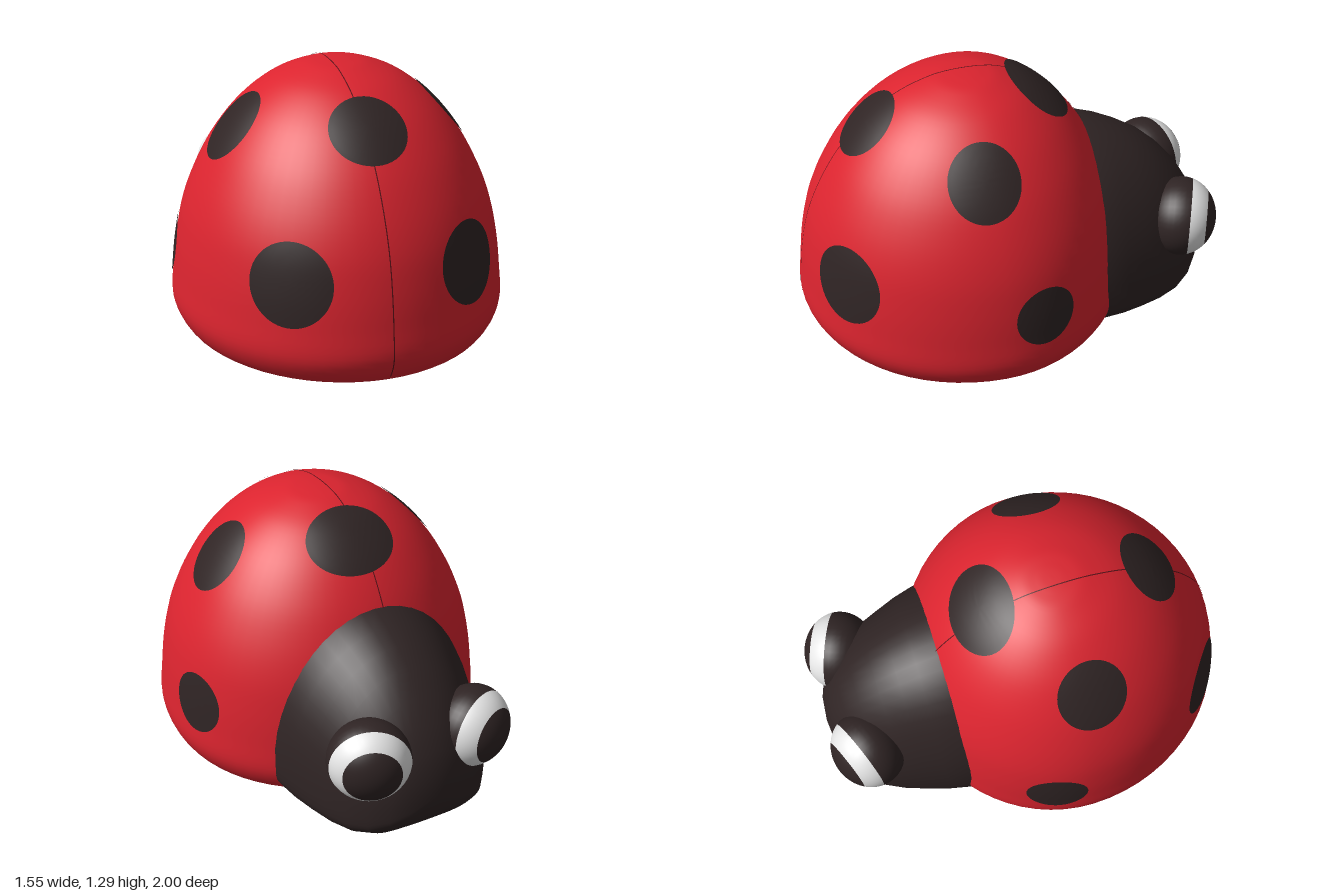
import * as THREE from 'three';
import { mergeVertices } from 'three/addons/utils/BufferGeometryUtils.js';

const material = (name, color, side = THREE.FrontSide) => {
  const m = new THREE.MeshStandardMaterial({ color, side });
  m.name = name;
  return m;
};

// Shell profile (radius, height), from the lower rim up to the crown
const PROFILE = new THREE.SplineCurve([
  [0.66, 0.04], [0.725, 0.062], [0.775, 0.17], [0.767, 0.32], [0.747, 0.48], [0.712, 0.64],
  [0.65, 0.8], [0.56, 0.96], [0.44, 1.105], [0.3, 1.213], [0.16, 1.272], [0.07, 1.288], [0, 1.291],
].map(([x, y]) => new THREE.Vector2(x, y))).getPoints(60);
PROFILE[60].x = 0;

const MID_Z = 0.16;
const stretch = (z) => z * (z > 0 ? 1.08 : 0.95); // longer behind than in front
const CORE = new THREE.Vector3(0, 0.45, MID_Z);

function radiusAt(y) {
  for (let i = 1; i < PROFILE.length; i++) {
    const a = PROFILE[i - 1], b = PROFILE[i];
    if (y >= a.y && y <= b.y) return a.x + (b.x - a.x) * (y - a.y) / (b.y - a.y || 1);
  }
  return 0;
}

// Point of the shell met by the ray from the core through a target, lifted a little
function onShell(target, lift = 0) {
  const dir = target.clone().sub(CORE).normalize();
  let lo = 0, hi = 2;
  for (let i = 0; i < 40; i++) {
    const t = (lo + hi) / 2;
    const p = dir.clone().multiplyScalar(t).add(CORE);
    const dz = p.z - MID_Z;
    const inside = Math.hypot(p.x, dz / (dz > 0 ? 1.08 : 0.95)) < radiusAt(p.y);
    if (inside) lo = t; else hi = t;
  }
  return dir.multiplyScalar(lo + lift).add(CORE);
}

// Weld seams and recompute smooth normals
function smooth(geometry) {
  geometry.deleteAttribute('uv');
  geometry.deleteAttribute('normal');
  const g = mergeVertices(geometry, 1e-5);
  g.computeVertexNormals();
  return g;
}

function bodyLathe(points) {
  const g = new THREE.LatheGeometry(points, 64);
  const p = g.attributes.position;
  for (let i = 0; i < p.count; i++) p.setZ(i, stretch(p.getZ(i)) + MID_Z);
  return smooth(g);
}

// Round spot that follows the curve of the shell
function spotGeometry(x, y, z, a, b) {
  const at = onShell(new THREE.Vector3(x, y, z));
  const side = new THREE.Vector3(0, 1, 0).cross(at.clone().sub(CORE)).normalize();
  const near = (v, s) => onShell(at.clone().addScaledVector(v, s));
  const rise = at.clone().sub(CORE).cross(side).normalize();
  const u = near(side, 0.05).sub(near(side, -0.05)).normalize();
  const v = near(rise, 0.05).sub(near(rise, -0.05)).normalize();
  const g = new THREE.RingGeometry(0, 1, 48, 8);
  const p = g.attributes.position;
  for (let i = 0; i < p.count; i++) {
    const q = at.clone().addScaledVector(u, p.getX(i) * a).addScaledVector(v, p.getY(i) * b);
    const s = onShell(q, 0.005);
    p.setXYZ(i, s.x, s.y, s.z);
  }
  return smooth(g);
}

// Fine line where the two wing cases meet, drifting slightly off centre
function seamGeometry() {
  const pos = [], index = [], n = 80;
  for (let i = 0; i <= n; i++) {
    const angle = -1.0 + (i / n) * 3.0;
    const p = onShell(CORE.clone().add(new THREE.Vector3(0, Math.cos(angle), Math.sin(angle))), 0.003);
    const x = -0.042 * (1 - Math.pow(Math.max(0, (p.z + 0.1) / 1.1), 1.6));
    pos.push(x - 0.0025, p.y, p.z, x + 0.0025, p.y, p.z);
    if (i < n) index.push(2 * i, 2 * i + 2, 2 * i + 1, 2 * i + 1, 2 * i + 2, 2 * i + 3);
  }
  const g = new THREE.BufferGeometry();
  g.setAttribute('position', new THREE.Float32BufferAttribute(pos, 3));
  g.setIndex(index);
  g.computeVertexNormals();
  return g;
}

// Head lofted from arched sections: z, half width, bottom, top
function headGeometry() {
  const sections = [
    [-0.2, 0.53, 0.035, 0.96], [-0.4, 0.51, 0.02, 0.925], [-0.5, 0.485, 0.01, 0.895],
    [-0.6, 0.45, 0.005, 0.85], [-0.7, 0.415, 0.01, 0.79], [-0.8, 0.365, 0.025, 0.7],
    [-0.88, 0.3, 0.06, 0.605], [-0.94, 0.22, 0.12, 0.5], [-0.972, 0.13, 0.185, 0.4], [-0.985, 0, 0.28, 0.28],
  ];
  const n = 48, pos = [], index = [];
  sections.forEach(([z, w, bottom, top], j) => {
    const mid = bottom + 0.22 * (top - bottom);
    for (let i = 0; i < n; i++) {
      const t = (i / n) * Math.PI * 2, c = Math.cos(t), s = Math.sin(t);
      const e = s < 0 ? 0.6 : 1;
      const x = w * Math.sign(c) * Math.pow(Math.abs(c), e);
      const y = s < 0 ? mid - (mid - bottom) * Math.pow(-s, e) : mid + (top - mid) * s;
      pos.push(x, y, z);
      if (j < sections.length - 1) {
        const a = j * n + i, b = j * n + (i + 1) % n;
        index.push(a, a + n, b, b, a + n, b + n);
      }
    }
  });
  const g = new THREE.BufferGeometry();
  g.setAttribute('position', new THREE.Float32BufferAttribute(pos, 3));
  g.setIndex(index);
  return smooth(g);
}

export function createModel() {
  const model = new THREE.Group();
  model.name = 'ladybug';
  const red = material('shell red', 0xdc242f);
  const dark = material('dark brown', 0x2f2424);
  const white = material('eye white', 0xe6e6e6);
  const seamRed = material('seam dark red', 0x5c1118, THREE.DoubleSide);

  const add = (parent, name, geometry, mat) => {
    const mesh = new THREE.Mesh(geometry, mat);
    mesh.name = name;
    parent.add(mesh);
    return mesh;
  };

  // Body
  add(model, 'shell', bodyLathe(PROFILE), red);
  add(model, 'belly', bodyLathe([[0, 0.022], [0.3, 0.022], [0.55, 0.024], [0.66, 0.04]]
    .map(([x, y]) => new THREE.Vector2(x, y))), dark);
  add(model, 'wingSeam', seamGeometry(), seamRed);
  add(model, 'head', headGeometry(), dark);

  // Spots: centre and two radii
  const spots = new THREE.Group();
  spots.name = 'spots';
  model.add(spots);
  add(spots, 'frontSpot', spotGeometry(0, 1.145, -0.155, 0.22, 0.18), dark);
  add(spots, 'rearSpot', spotGeometry(0, 1.085, 0.62, 0.18, 0.175), dark);
  for (const side of [1, -1]) {
    const label = side > 0 ? 'left' : 'right';
    add(spots, label + 'UpperSpot', spotGeometry(side * 0.485, 1.025, 0.2, 0.165, 0.185), dark);
    add(spots, label + 'LowerSpot', spotGeometry(side * 0.72, 0.42, -0.02, 0.15, 0.147), dark);
    add(spots, label + 'RearSpot', spotGeometry(side * 0.4, 0.51, 0.81, 0.195, 0.19), dark);

    // Eye: one ellipsoid split into pupil, white and bulb, facing forward and outward
    const eye = new THREE.Group();
    eye.name = label + 'Eye';
    eye.position.set(side * 0.262, 0.475, -0.825);
    eye.scale.set(0.19, 0.17, 0.19);
    eye.quaternion.setFromUnitVectors(new THREE.Vector3(0, 1, 0),
      new THREE.Vector3(side * 0.38, 0, -0.925).normalize());
    const band = (from, to) => new THREE.SphereGeometry(1, 40, 12, 0, Math.PI * 2, from, to - from);
    add(eye, 'pupil', band(0, 0.76), dark);
    add(eye, 'eyeWhite', band(0.76, 1.3), white);
    add(eye, 'eyeBulb', band(1.3, Math.PI), dark);
    model.add(eye);
  }
  return model;
}
